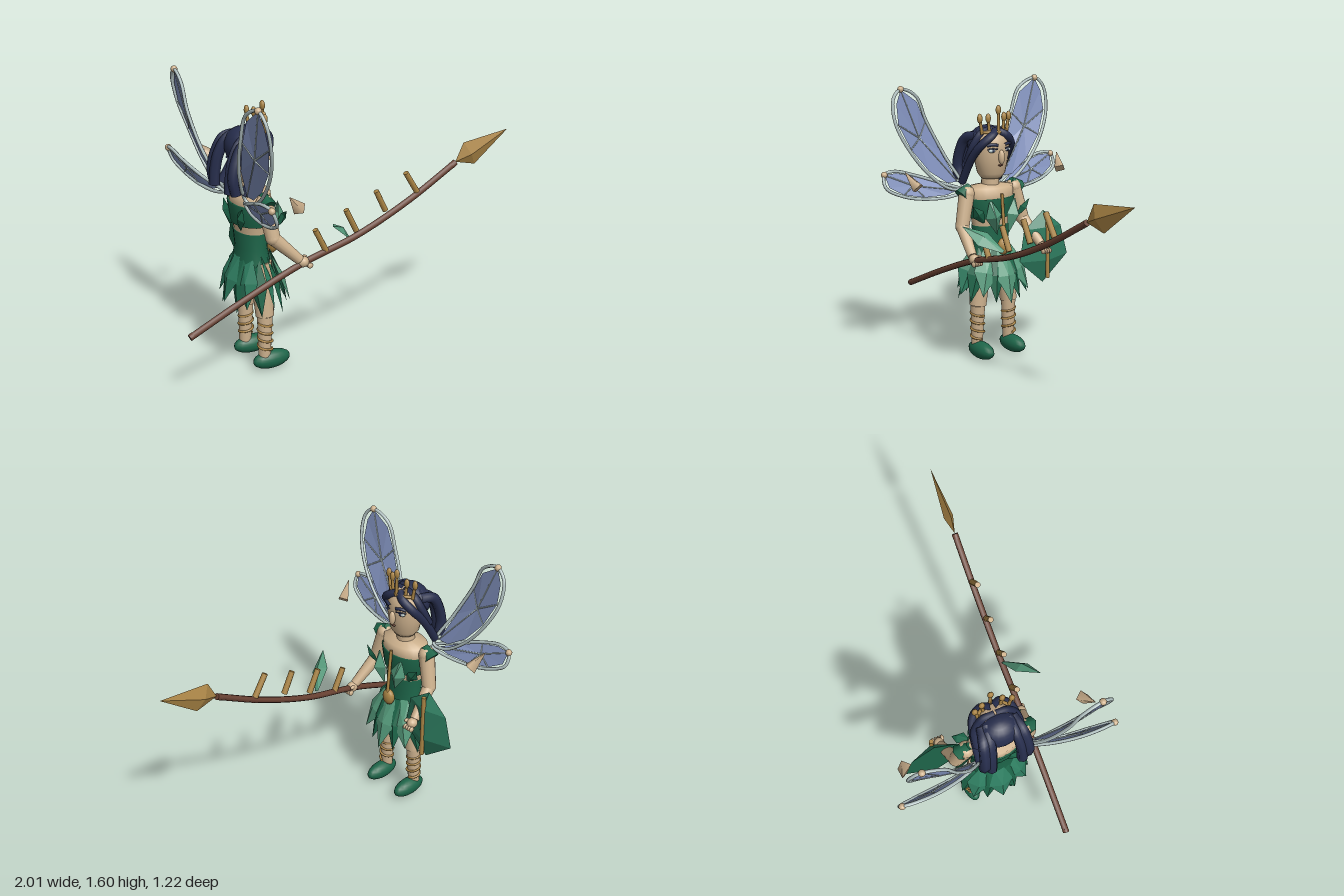
import * as THREE from 'three';

const V = (x, y, z) => new THREE.Vector3(x, y, z);
const mat = (name, color, both) => {
  const m = new THREE.MeshStandardMaterial({ color });
  m.name = name;
  if (both) m.side = THREE.DoubleSide;
  return m;
};

export function createModel() {
  const root = new THREE.Group();
  root.name = 'fairyWarrior';
  const skin = mat('skin', 0xceb28e);
  const dark = mat('darkGreen', 0x1d6549, true);
  const mid = mat('midGreen', 0x2e7d60, true);
  const light = mat('lightGreen', 0x559a7b, true);
  const navy = mat('navyHair', 0x272e4d);
  const gold = mat('gold', 0xac8646, true);
  const wood = mat('brownWood', 0x6a4233);
  const blue = mat('wingBlue', 0x8191bd, true);
  const pale = mat('paleFrame', 0xb4c4c4);

  const add = (name, geo, m) => {
    const o = new THREE.Mesh(geo, m);
    o.name = name;
    root.add(o);
    return o;
  };
  const ball = (name, p, rx, ry, rz, m, n = 14) => {
    const o = add(name, new THREE.SphereGeometry(1, n, Math.max(6, n - 4)), m);
    o.position.copy(p);
    o.scale.set(rx, ry, rz);
  };
  // tapered cylinder from a to b
  const rod = (name, a, b, ra, rb, m, n = 12) => {
    const d = b.clone().sub(a);
    const o = add(name, new THREE.CylinderGeometry(rb, ra, d.length(), n), m);
    o.position.copy(a).add(b).multiplyScalar(0.5);
    o.quaternion.setFromUnitVectors(V(0, 1, 0), d.normalize());
  };
  const tube = (name, pts, r, m, closed = false, seg = 28) =>
    add(name, new THREE.TubeGeometry(new THREE.CatmullRomCurve3(pts, closed), seg, r, 7, closed), m);
  const lathe = (name, prof, xScale, x, m) => {
    const o = add(name, new THREE.LatheGeometry(prof.map(([r, y]) => new THREE.Vector2(r, y)), 20), m);
    o.scale.x = xScale;
    o.position.x = x;
  };
  const faces = (name, tris, m) => {
    const g = new THREE.BufferGeometry().setFromPoints(tris);
    g.computeVertexNormals();
    add(name, g, m);
  };
  // folded leaf: narrow base, wide middle, pointed tip, raised ridge
  const leaf = (name, a, b, w, out, m, baseW = 0.4, at = 0.55, bulge = 0.025) => {
    const side = b.clone().sub(a).cross(out).normalize();
    const c = a.clone().lerp(b, at);
    const ridge = c.clone().addScaledVector(out.clone().normalize(), bulge);
    const off = (p, k) => p.clone().addScaledVector(side, k);
    const tris = [];
    for (const s of [1, -1]) {
      const p = off(a, s * w * baseW), q = off(c, s * w);
      const t = [a, ridge, p, p, ridge, q, q, ridge, b];
      tris.push(...(s > 0 ? t : t.reverse()));
    }
    faces(name, tris, m);
  };

  // body
  lathe('torso', [[0, 0.54], [0.12, 0.55], [0.125, 0.6], [0.108, 0.7], [0.12, 0.8], [0.135, 0.88],
    [0.148, 0.95], [0.145, 1.01], [0.05, 1.025], [0, 1.025]], 0.68, -0.51, skin);
  lathe('bodice', [[0.13, 0.58], [0.128, 0.63], [0.113, 0.7], [0.123, 0.79], [0.115, 0.79]], 0.7, -0.51, dark);
  lathe('chestBand', [[0.12, 0.835], [0.135, 0.835], [0.155, 0.95], [0.14, 0.95]], 0.72, -0.51, dark);
  rod('neck', V(-0.51, 1, 0), V(-0.51, 1.1, 0), 0.053, 0.05, skin, 16);
  lathe('head', [[0, 1.055], [0.06, 1.06], [0.082, 1.09], [0.1, 1.17], [0.106, 1.25], [0.095, 1.3],
    [0.06, 1.34], [0, 1.35]], 0.95, -0.5, skin);

  // face
  ball('nose', V(-0.397, 1.19, 0), 0.018, 0.042, 0.019, skin);
  ball('mouth', V(-0.408, 1.142, 0), 0.01, 0.006, 0.016, wood, 10);
  for (const s of [1, -1]) {
    ball('eye', V(-0.417, 1.228, s * 0.05), 0.012, 0.011, 0.027, pale);
    ball('pupil', V(-0.409, 1.228, s * 0.05), 0.006, 0.009, 0.009, navy, 10);
    tube('eyelid', [V(-0.4, 1.236, s * 0.024), V(-0.408, 1.241, s * 0.05), V(-0.428, 1.236, s * 0.076)], 0.004, navy, false, 8);
    tube('brow', [V(-0.4, 1.258, s * 0.022), V(-0.408, 1.264, s * 0.05), V(-0.426, 1.258, s * 0.08)], 0.009, navy, false, 8);
  }

  // hair: cap, parted fringe and two heavy tails
  ball('hairCap', V(-0.54, 1.255, 0), 0.098, 0.105, 0.118, navy, 18);
  for (const s of [1, -1]) {
    tube('fringe', [V(-0.45, 1.335, 0), V(-0.425, 1.31, s * 0.05), V(-0.445, 1.265, s * 0.1), V(-0.5, 1.2, s * 0.122),
      V(-0.55, 1.13, s * 0.126), V(-0.61, 1.03, s * 0.128)], 0.024, navy);
    tube('fringeBase', [V(-0.49, 1.335, 0), V(-0.49, 1.32, s * 0.07), V(-0.51, 1.25, s * 0.115), V(-0.56, 1.15, s * 0.125)], 0.024, navy);
    [0.07, 0.105].forEach((z, i) =>
      tube('hairTail', [V(-0.52, 1.32 - i * 0.02, s * z * 0.8), V(-0.6, 1.285, s * z), V(-0.645, 1.21, s * (z + 0.01)),
        V(-0.665, 1.12, s * (z + 0.015)), V(-0.672 + i * 0.02, 1.04, s * (z + 0.015))], 0.03, navy));
  }

  // crown
  const band = [];
  for (let i = -4; i <= 4; i++) band.push(V(-0.515 + 0.09 * Math.cos(i * 0.26), 1.33, 0.098 * Math.sin(i * 0.26)));
  tube('crownBand', band, 0.009, gold);
  [[0, 1.455], [0.055, 1.41], [-0.055, 1.41], [0.1, 1.41], [-0.1, 1.41]].forEach(([z, y]) => {
    const x = -0.425 - Math.abs(z) * 0.4;
    rod('crownStem', V(x, 1.32, z * 0.85), V(x, y, z), 0.01, 0.008, gold, 8);
    ball('crownBud', V(x, y, z), 0.014, 0.028, 0.017, gold, 10);
  });

  for (const s of [1, -1]) {
    // legs
    const knee = V(-0.492, 0.32, s * 0.11);
    rod('thigh', knee, V(-0.495, 0.62, s * 0.075), 0.05, 0.062, skin, 16);
    rod('calf', V(-0.5, 0.08, s * 0.113), knee, 0.033, 0.043, skin, 16);
    ball('shoe', V(-0.457, 0.055, s * 0.113), 0.112, 0.052, 0.048, dark, 16);
    const vine = [];
    for (let i = 0; i <= 24; i++) {
      const a = i / 24 * Math.PI * 7;
      vine.push(V(-0.494 + 0.039 * Math.cos(a), 0.12 + i * 0.0068, s * (0.112 + 0.039 * Math.sin(a))));
    }
    tube('calfVine', vine, 0.007, gold, false, 72);

    // arms and hands
    const shoulder = V(-0.51, 0.985, s * 0.165), elbow = V(-0.49, 0.8, s * 0.212), wrist = V(-0.35, 0.66, s * 0.243);
    ball('shoulder', shoulder, 0.048, 0.045, 0.045, skin);
    rod('upperArm', elbow, shoulder, 0.04, 0.046, skin, 14);
    ball('elbow', elbow, 0.04, 0.04, 0.04, skin);
    rod('forearm', elbow, wrist, 0.038, 0.027, skin, 14);
    ball('hand', V(-0.33, 0.645, s * 0.245), 0.033, 0.03, 0.03, skin);
    for (let i = 0; i < 4; i++)
      ball('finger', V(-0.3, 0.625, s * (0.222 + i * 0.016)), 0.018, 0.016, 0.009, skin, 8);
    ball('thumb', V(-0.31, 0.66, s * 0.22), 0.018, 0.012, 0.01, skin, 8);

    // shoulder caps, chest and back leaves
    rod('shoulderLeaf', V(-0.51, 0.975, s * 0.205), V(-0.51, 1.025, s * 0.145), 0.046, 0.022, dark, 6);
    leaf('chestLeaf', V(-0.39, 0.945, s * 0.085), V(-0.39, 0.745, s * 0.04), 0.048, V(1, 0, s * 0.3), light, 0.15, 0.45, 0.05);
    leaf('sideLeaf', V(-0.42, 0.82, s * 0.11), V(-0.4, 0.93, s * 0.2), 0.036, V(1, 0, s * 0.6), dark, 0.2, 0.5, 0.025);
    leaf('backLeaf', V(-0.6, 0.82, s * 0.05), V(-0.61, 0.95, s * 0.11), 0.04, V(-1, 0, 0), dark);

    // floating ear tips
    rod('earTip', V(-0.495, 1.055, s * 0.5), V(-0.57, 1.14, s * 0.535), 0.038, 0.002, skin, 4);

    // wings: outline points are x, y, z
    const wings = [
      ['upperWing', [[-0.6, 1.0, 0.13], [-0.675, 1.19, 0.205], [-0.71, 1.39, 0.3], [-0.712, 1.53, 0.36], [-0.7, 1.58, 0.47],
        [-0.69, 1.53, 0.525], [-0.665, 1.4, 0.53], [-0.632, 1.24, 0.46], [-0.612, 1.09, 0.34], [-0.6, 1.0, 0.21]], [-0.672, 1.3, 0.37]],
      ['lowerWing', [[-0.6, 0.98, 0.12], [-0.66, 1.035, 0.25], [-0.7, 1.09, 0.4], [-0.71, 1.122, 0.52], [-0.7, 1.11, 0.59],
        [-0.675, 1.04, 0.595], [-0.65, 0.985, 0.5], [-0.63, 0.955, 0.36], [-0.61, 0.955, 0.2]], [-0.67, 1.035, 0.42]]];
    for (const [name, pts, c] of wings) {
      const frame = pts.map(([x, y, z]) => V(x, y, s * z));
      const centre = V(c[0], c[1], s * c[2]);
      const edge = frame.map((p, i) => p.clone().lerp(centre, i === 4 ? 0.01 : 0.12));
      const tris = [];
      edge.forEach((p, i) => tris.push(centre, p, edge[(i + 1) % edge.length]));
      faces(name + 'Membrane', tris, blue);
      tube(name + 'Frame', frame, 0.0095, pale, true, 60);
      for (const i of [0, 2, 4, 6, 7]) rod(name + 'Vein', centre, edge[i], 0.0045, 0.0035, pale, 6);
      ball(name + 'Tip', frame[4], 0.019, 0.019, 0.019, skin, 10);
    }
  }

  // skirt: long inner petals under broad outer petals, turned mostly to front and back
  for (const outer of [false, true]) {
    for (let i = 0; i < 8; i++) {
      const a = (i + (outer ? 0 : 0.5)) / 8 * Math.PI * 2, c = Math.cos(a), s = Math.sin(a);
      const rx = outer ? 0.185 : 0.165, rz = outer ? 0.228 : 0.22;
      const tipY = !outer ? 0.36 : i === 0 ? 0.35 : 0.4;
      const tone = !outer ? dark : (i < 2 || i === 7) ? light : mid;
      leaf('skirtPetal', V(-0.5 + c * 0.09, 0.66, s * 0.1), V(-0.495 + c * rx, tipY, s * rz), outer ? 0.07 : 0.055,
        V(c > -0.01 ? 1 : -1, 0.2, s * 0.6), tone, 0.4, 0.5, 0.025);
    }
  }

  // belt ornament and chest stem
  ball('beltOrnament', V(-0.385, 0.675, 0), 0.028, 0.05, 0.04, gold, 12);
  rod('chestStem', V(-0.375, 0.7, 0), V(-0.395, 0.98, 0), 0.01, 0.009, gold, 8);

  // leaf shield: ridged front, flat back
  const [r0, r1, r2, r3, r4, r5] = [[0.845, -0.3], [0.74, -0.43], [0.56, -0.48], [0.41, -0.295], [0.553, -0.127], [0.74, -0.16]]
    .map(([y, z]) => V(-0.4, y, z));
  const top = V(-0.352, 0.75, -0.3), low = V(-0.352, 0.55, -0.3);
  faces('shield', [r0, r1, top, r1, low, top, r1, r2, low, r2, r3, low,
    r3, r4, low, r4, r5, low, r5, top, low, r5, r0, top].reverse(), mid);
  faces('shieldBack', [r0, r1, r2, r0, r2, r3, r0, r3, r4, r0, r4, r5], dark);
  rod('shieldRib', V(-0.358, 0.445, -0.3), V(-0.358, 0.83, -0.3), 0.013, 0.013, gold, 8);

  // spear
  const sz = 0.245;
  const path = [[-1, 0.37], [-0.66, 0.515], [-0.34, 0.635], [0, 0.725], [0.33, 0.86], [0.64, 1.025]].map(([x, y]) => V(x, y, sz));
  tube('spearShaft', path, 0.018, wood, false, 48);
  rod('shaftButt', V(-0.999, 0.37, sz), V(-0.98, 0.379, sz), 0.018, 0.018, wood);
  rod('shaftCollar', V(0.62, 1.013, sz), V(0.645, 1.028, sz), 0.018, 0.018, wood);
  [[-0.19, 0.68, -0.255, 0.81], [0, 0.755, -0.065, 0.885], [0.185, 0.835, 0.125, 0.955], [0.39, 0.905, 0.315, 1.025]]
    .forEach(([x, y, u, v]) => rod('spearThorn', V(x, y, sz), V(u, v, sz), 0.017, 0.016, gold, 8));
  const from = V(0.645, 1.03, sz), to = V(1, 1.165, sz);
  const c = from.clone().lerp(to, 0.26);
  const ring = [V(-0.04, 0.068, 0), V(0, 0, 0.027), V(0.04, -0.068, 0), V(0, 0, -0.027)].map((p) => p.add(c));
  const blade = [];
  ring.forEach((p, i) => {
    const q = ring[(i + 1) % 4];
    blade.push(to, p, q, from, q, p);
  });
  faces('spearHead', blade, gold);

  // loose leaf beside the spear
  leaf('looseLeaf', V(-0.055, 0.742, 0.245), V(-0.235, 0.873, 0.39), 0.055, V(0.6, 0.8, 0.25), light, 0.2, 0.5, 0.025);
  return root;
}
